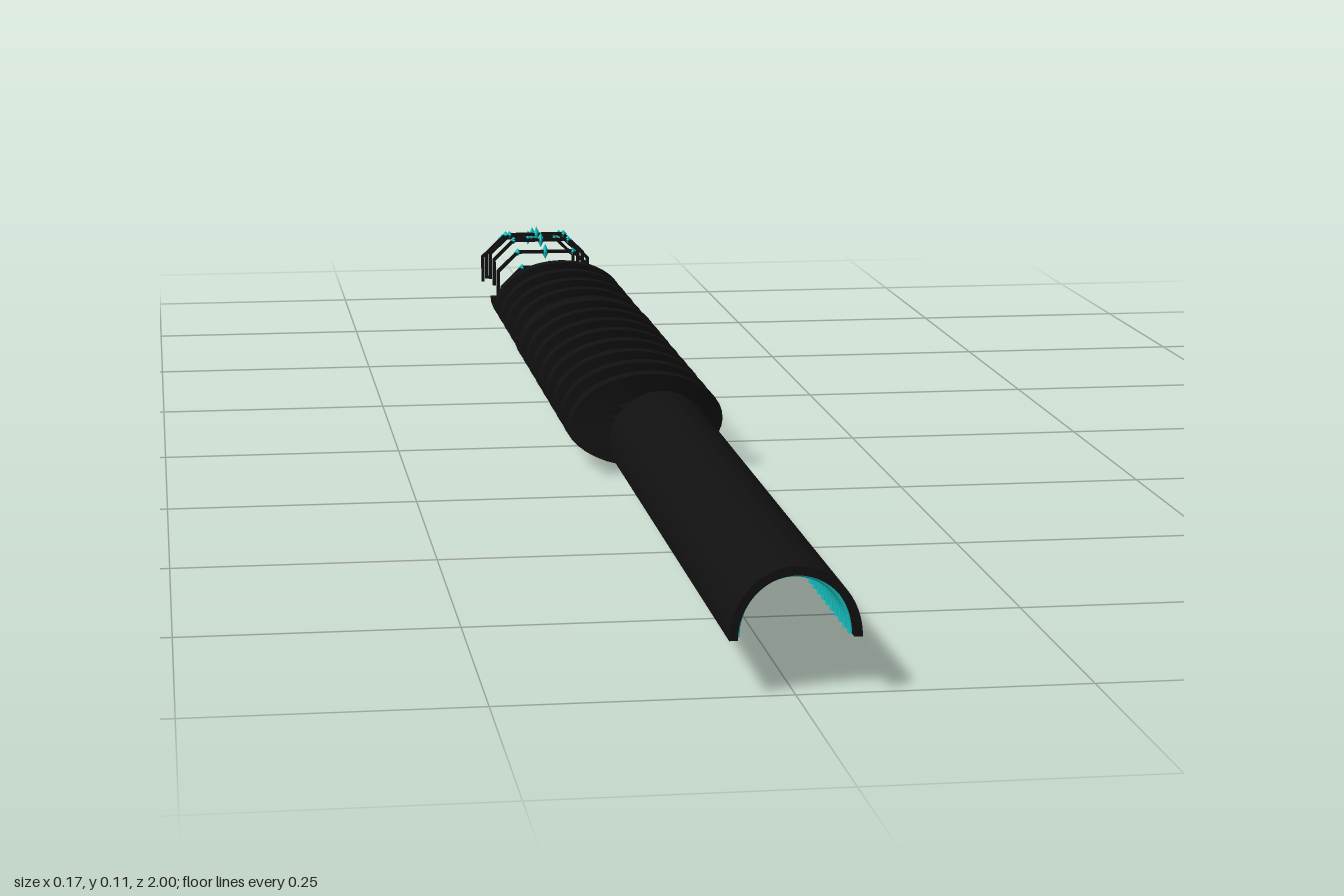
import * as THREE from 'three';
import { toCreasedNormals } from 'three/addons/utils/BufferGeometryUtils.js';

const black = new THREE.MeshStandardMaterial({ color: 0x111111, side: THREE.DoubleSide });
const cyan = new THREE.MeshStandardMaterial({ color: 0x18c8c8, side: THREE.DoubleSide });

function add(parent, name, geometry, material, x = 0, y = 0, z = 0) {
  const mesh = new THREE.Mesh(geometry, material);
  mesh.name = name;
  mesh.position.set(x, y, z);
  parent.add(mesh);
  return mesh;
}

// Elliptical spiral with a rectangular section: r0..r1 across, d0..d1 along z
function spiral({ rx, ry, cy, start, end, turns }, r0, r1, d0, d1) {
  const section = [[r0, d0], [r1, d0], [r1, d1], [r0, d1]];
  const steps = turns * 40, pos = [], idx = [];
  for (let i = 0; i <= steps; i++) {
    const a = (i / steps) * turns * Math.PI * 2;
    const z = start + (end - start) * i / steps;
    for (const [r, d] of section) {
      pos.push(-Math.cos(a) * rx * r, cy + Math.sin(a) * ry * r, z + d);
    }
  }
  for (let i = 0; i < steps; i++) {
    for (let j = 0; j < 4; j++) {
      const a = i * 4 + j, b = i * 4 + (j + 1) % 4;
      idx.push(a, b, b + 4, a, b + 4, a + 4);
    }
  }
  const e = steps * 4;
  idx.push(0, 2, 1, 0, 3, 2, e, e + 1, e + 2, e, e + 2, e + 3);
  const g = new THREE.BufferGeometry();
  g.setAttribute('position', new THREE.Float32BufferAttribute(pos, 3));
  g.setIndex(idx);
  return toCreasedNormals(g, 0.6);
}

// Half-pipe tunnel, open below, lined with ribs
function createTunnel() {
  const tunnel = new THREE.Group();
  tunnel.name = 'tunnel';
  const arch = new THREE.Shape();
  arch.absarc(0, 0, 0.055, 0, Math.PI, false);
  arch.absarc(0, 0, 0.048, Math.PI, 0, true);
  const shell = new THREE.ExtrudeGeometry(arch, { depth: 0.75, bevelEnabled: false, curveSegments: 24 });
  add(tunnel, 'tunnelShell', toCreasedNormals(shell, 0.6), black, 0, 0, 0.25);
  const rib = new THREE.TorusGeometry(0.0475, 0.003, 6, 20, Math.PI);
  for (let i = 0; i < 40; i++) {
    add(tunnel, 'tunnelRib', rib, cyan, 0, 0, 0.262 + i * 0.0186);
  }
  tunnel.position.y = 0.047;
  tunnel.scale.y = 1.1;
  return tunnel;
}

// Thin angular gate with a gem on its crossbar
function createGate() {
  const gate = new THREE.Group();
  gate.name = 'gate';
  const outline = [[-0.062, 0], [-0.062, 0.033], [-0.036, 0.058],
    [0.036, 0.058], [0.062, 0.033], [0.062, 0]];
  for (let i = 0; i < outline.length - 1; i++) {
    const [x0, y0] = outline[i], [x1, y1] = outline[i + 1];
    const bar = new THREE.BoxGeometry(Math.hypot(x1 - x0, y1 - y0) + 0.002, 0.004, 0.005);
    const mesh = add(gate, 'gateBar', bar, black, (x0 + x1) / 2, (y0 + y1) / 2);
    mesh.rotation.z = Math.atan2(y1 - y0, x1 - x0);
  }
  const gem = add(gate, 'gateGem', new THREE.OctahedronGeometry(0.01), cyan, 0, 0.058, 0);
  gem.scale.set(0.5, 1, 0.5);
  for (const s of [-1, 1]) {
    add(gate, 'gateCorner', new THREE.OctahedronGeometry(0.005), cyan, s * 0.036, 0.058, 0);
  }
  return gate;
}

export function createModel() {
  const model = new THREE.Group();
  model.name = 'trackSet';
  model.add(createTunnel());

  // Two spirals that overlap where they meet
  const long = { rx: 0.083, ry: 0.053, cy: 0.053, start: 0.155, end: -0.38, turns: 8 };
  add(model, 'longSpiral', spiral(long, 0.54, 1, -0.01, 0.01), black);
  add(model, 'longSpiralTrim', spiral(long, 0.56, 0.64, -0.012, -0.0095), cyan);
  const short = { rx: 0.082, ry: 0.052, cy: 0.053, start: -0.335, end: -0.68, turns: 5 };
  add(model, 'shortSpiral', spiral(short, 0.52, 1, -0.01, 0.01), black);
  add(model, 'shortSpiralTrim', spiral(short, 0.56, 0.85, -0.012, -0.0095), cyan);

  // Six gates rising and falling along an arc
  for (let i = 0; i < 6; i++) {
    const gate = createGate();
    gate.position.set(0, 0.023 + 0.021 * Math.sin(i * Math.PI / 5), -0.737 - i * 0.052);
    model.add(gate);
  }
  return model;
}
